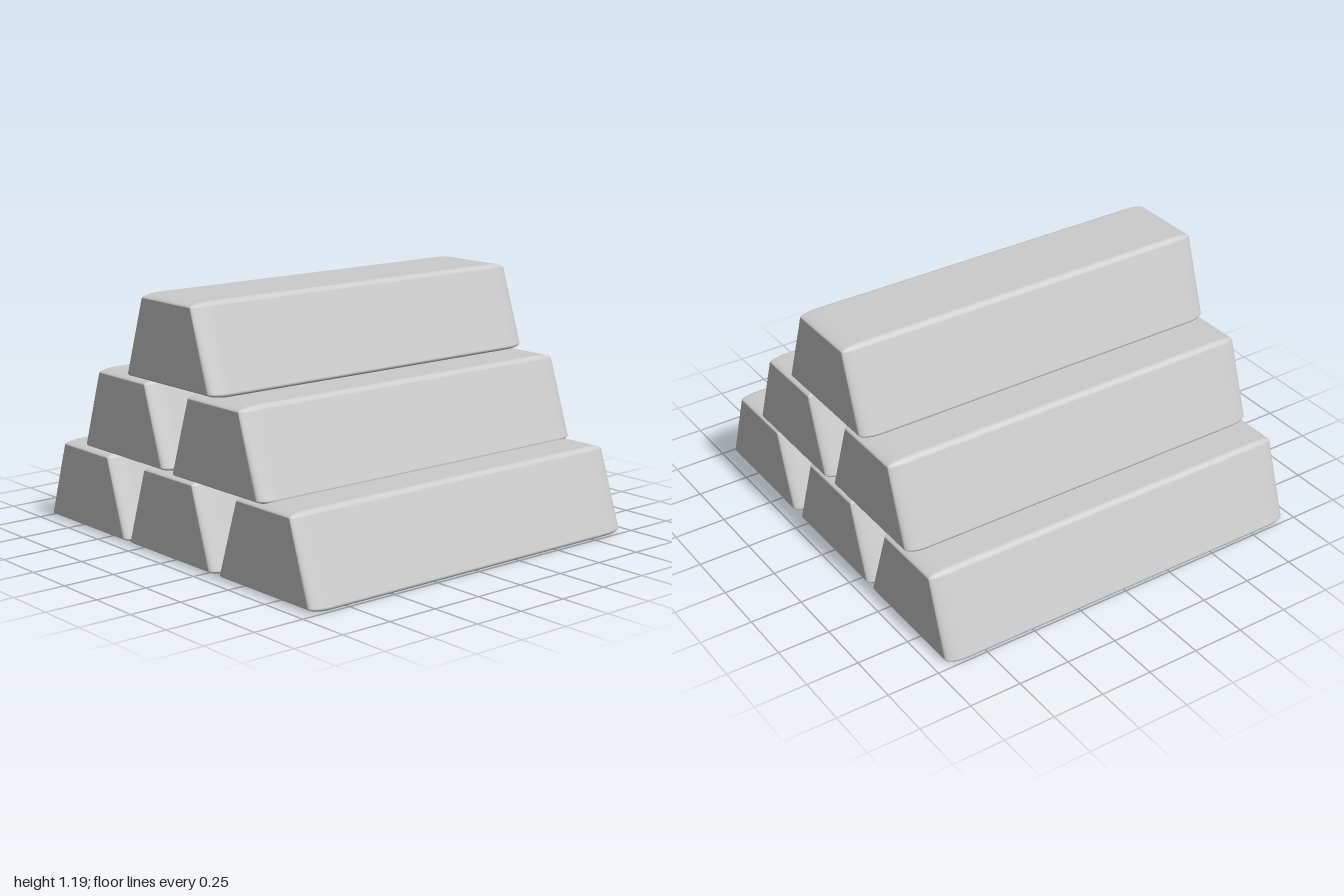
import * as THREE from 'three';
import { RoundedBoxGeometry } from 'three/addons/geometries/RoundedBoxGeometry.js';

const BOTTOM = 0.676, TOP = 0.38, HEIGHT = 0.4, LENGTH = 1.89;

// Rounded unit cube stretched into a bar whose width tapers towards the top
function barGeometry() {
  const geo = new RoundedBoxGeometry(1, 1, 1, 5, 0.055);
  const pos = geo.attributes.position, nor = geo.attributes.normal;
  const slope = TOP - BOTTOM;
  const n = new THREE.Vector3();
  for (let i = 0; i < pos.count; i++) {
    const x = pos.getX(i), y = pos.getY(i), z = pos.getZ(i);
    const w = BOTTOM + slope * (y + 0.5);
    // carry the smooth normals through the same taper
    n.fromBufferAttribute(nor, i);
    n.set(n.x / w, (n.y - n.x * x * slope / w) / HEIGHT, n.z / LENGTH).normalize();
    nor.setXYZ(i, n.x, n.y, n.z);
    pos.setXYZ(i, x * w, (y + 0.5) * HEIGHT, z * LENGTH);
  }
  return geo;
}

export function createModel() {
  const group = new THREE.Group();
  group.name = 'barStack';
  const geometry = barGeometry();
  const material = new THREE.MeshStandardMaterial({ color: 0xcccccc });

  // [name, x, y] of each bar, slightly uneven as stacked by hand
  const bars = [
    ['bottomRightBar', -0.667, 0],
    ['bottomMiddleBar', -0.011, 0],
    ['bottomLeftBar', 0.667, 0],
    ['middleRightBar', -0.357, 0.395],
    ['middleLeftBar', 0.33, 0.386],
    ['topBar', -0.002, 0.786],
  ];
  for (const [name, x, y] of bars) {
    const bar = new THREE.Mesh(geometry, material);
    bar.name = name;
    bar.position.set(x, y, 0);
    group.add(bar);
  }
  return group;
}
